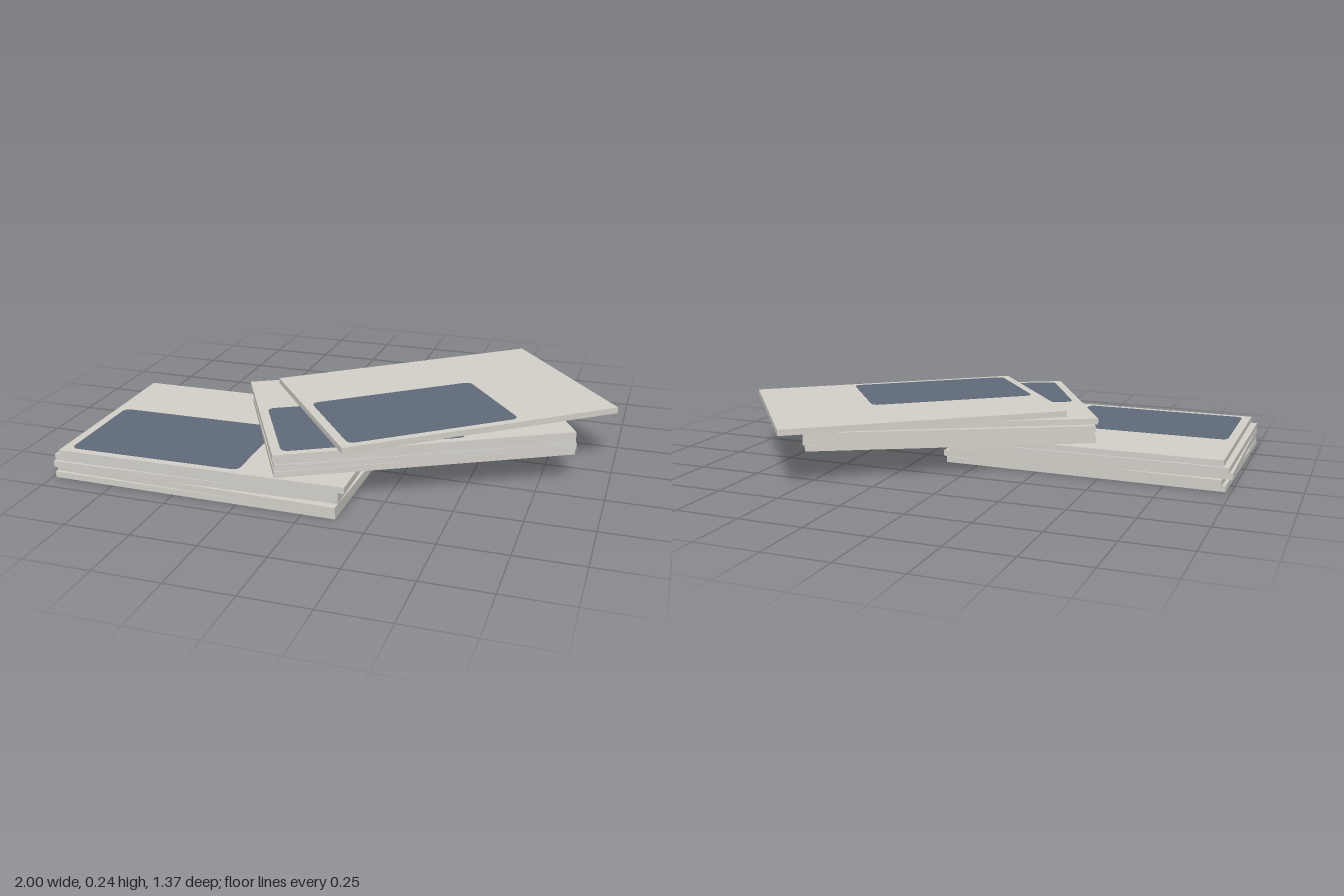
import * as THREE from 'three';

const LENGTH = 1.112, DEPTH = 0.761, THICK = 0.0234;

const caseMaterial = new THREE.MeshStandardMaterial({ color: 0xd2cfc8 });
caseMaterial.name = 'pale grey case';
const labelMaterial = new THREE.MeshStandardMaterial({ color: 0x5f6978 });
labelMaterial.name = 'slate blue label';

// Thin rounded panel lying flat, facing up
function labelGeometry(w, d, r) {
  const x = w / 2, y = d / 2, s = new THREE.Shape();
  s.moveTo(-x + r, -y);
  s.lineTo(x - r, -y).quadraticCurveTo(x, -y, x, -y + r);
  s.lineTo(x, y - r).quadraticCurveTo(x, y, x - r, y);
  s.lineTo(-x + r, y).quadraticCurveTo(-x, y, -x, y - r);
  s.lineTo(-x, -y + r).quadraticCurveTo(-x, -y, -x + r, -y);
  const g = new THREE.ExtrudeGeometry(s, { depth: 0.0015, bevelEnabled: false, curveSegments: 6 });
  return g.rotateX(-Math.PI / 2);
}

// Slabs from the bottom up: centre x, centre z, turn in degrees
const slabs = [
  ['lowerSlab', -0.428, 0.297, -0.6],
  ['lowerSlab', -0.420, 0.293, -1.6],
  ['lowerSlab', -0.438, 0.288, 1.2],
  ['lowerSlab', -0.432, 0.284, 0.3],
  ['lowerSlab', -0.408, 0.291, 0.6],
  ['middleSlab', 0.203, 0.067, 28.2],
  ['middleSlab', 0.207, 0.064, 27.8],
  ['middleSlab', 0.203, 0.062, 27.7],
  ['middleSlab', 0.203, 0.082, 28.5],
  ['topSlab', 0.3265, -0.044, 37.9],
];

export function createModel() {
  const model = new THREE.Group();
  model.name = 'slabStack';
  const slabGeo = new THREE.BoxGeometry(LENGTH, THICK, DEPTH);
  const labelGeo = labelGeometry(0.67, 0.415, 0.03);

  slabs.forEach(([name, x, z, turn], i) => {
    const slab = new THREE.Group();
    slab.name = name + (i + 1);
    slab.position.set(x, i * THICK, z);
    slab.rotation.y = THREE.MathUtils.degToRad(turn);

    const body = new THREE.Mesh(slabGeo, caseMaterial);
    body.name = 'case';
    body.position.y = THICK / 2;
    slab.add(body);

    // Only the slab ending each pile shows its label
    const next = slabs[i + 1];
    if (!next || next[0] !== name) {
      const label = new THREE.Mesh(labelGeo, labelMaterial);
      label.name = 'label';
      label.position.set(-0.186, THICK, 0.143);
      slab.add(label);
    }
    model.add(slab);
  });
  return model;
}
